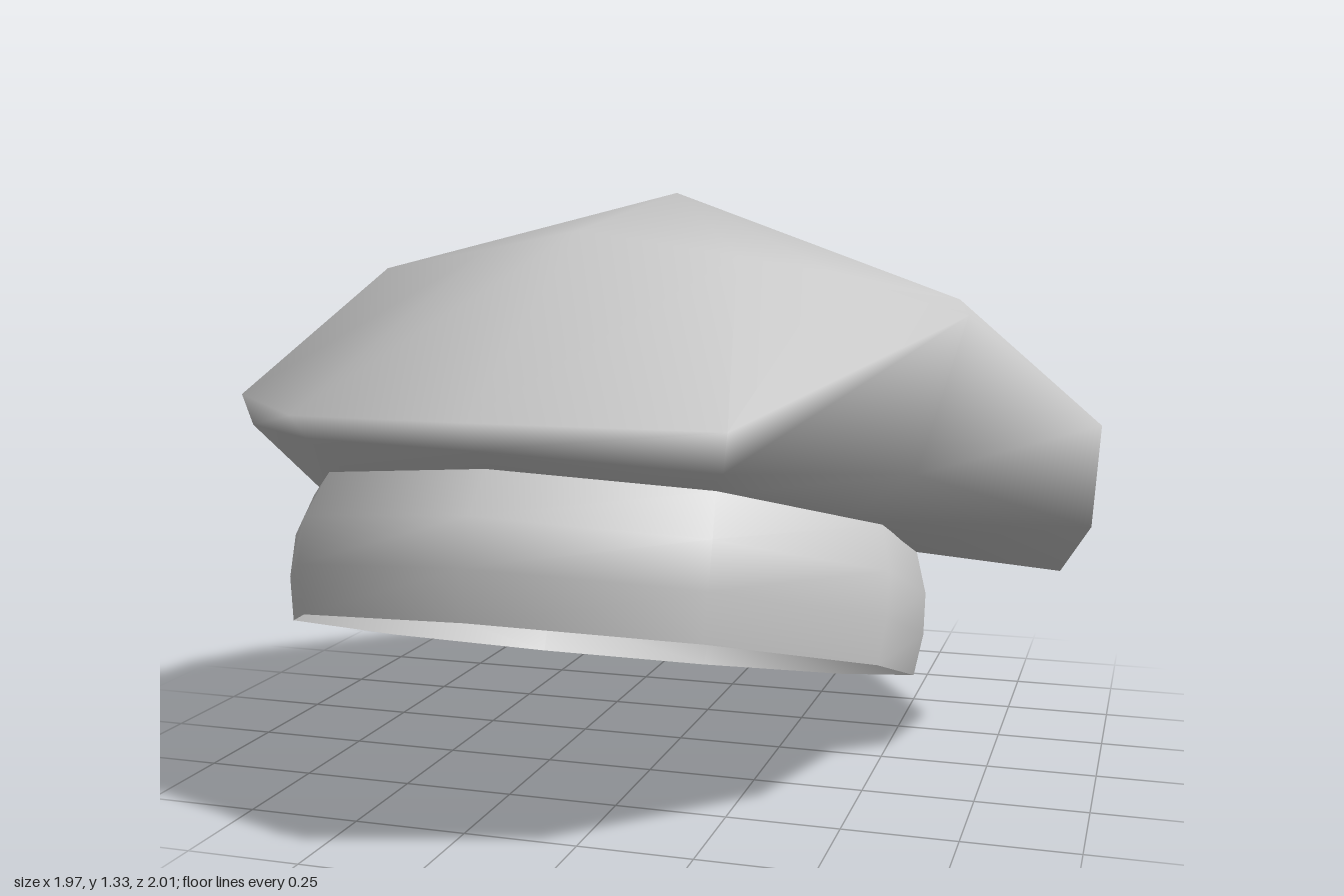
import * as THREE from 'three';

const material = new THREE.MeshStandardMaterial({ color: 0xcccccc, side: THREE.DoubleSide });

// Skin a stack of closed rings (bottom to top), optionally closed by a tip point.
function skin(name, rings, tip) {
  const n = rings[0].length, index = [], points = rings.flat();
  for (let r = 0; r < rings.length - 1; r++) {
    for (let i = 0; i < n; i++) {
      const j = (i + 1) % n, a = r * n, b = a + n;
      index.push(a + i, a + j, b + j, a + i, b + j, b + i);
    }
  }
  if (tip) {
    const a = (rings.length - 1) * n;
    for (let i = 0; i < n; i++) index.push(a + i, a + (i + 1) % n, points.length);
    points.push(tip);
  }
  const g = new THREE.BufferGeometry();
  g.setAttribute('position', new THREE.Float32BufferAttribute(points.flat(), 3));
  g.setIndex(index);
  g.computeVertexNormals();
  const mesh = new THREE.Mesh(g, material);
  mesh.name = name;
  return mesh;
}

export function createModel() {
  const group = new THREE.Group();
  group.name = 'beret';

  // Open ten-sided head band, tilted down to the back and bulging mid-height
  const slope = 0.302, sides = 10;
  const levels = [[0, 0], [0.1, 0.04], [0.2, 0.037], [0.3, -0.03]]; // height, bulge
  const bandRings = levels.map(([h, bulge]) => Array.from({ length: sides }, (_, i) => {
    const a = (i / sides) * Math.PI * 2;
    const along = (0.875 + bulge) * Math.cos(a);
    return [
      -0.13 + (0.725 + bulge * 0.4) * Math.sin(a),
      0.26 + along * Math.sin(slope) + h * Math.cos(slope),
      0.165 + along * Math.cos(slope) - h * Math.sin(slope),
    ];
  }));
  group.add(skin('headBand', bandRings));

  // Crown rings run from the front round by +x; the cloth droops at the back
  const lower = [
    [-0.13, 0.84, 0.94], [0.33, 0.8, 0.83], [0.64, 0.76, 0.48], [0.97, 0.59, 0.04],
    [0.885, 0.42, -0.27], [0.47, 0.34, -0.92], [-0.14, 0.29, -0.98], [-0.57, 0.38, -0.8],
    [-0.89, 0.54, -0.25], [-0.97, 0.68, 0.06], [-0.86, 0.81, 0.5], [-0.56, 0.83, 0.8],
  ];
  const rim = [
    [-0.13, 0.9, 0.99], [0.36, 0.89, 0.91], [0.75, 1.09, 0.57], [0.985, 0.82, 0.05],
    [0.89, 0.63, -0.28], [0.48, 0.54, -0.93], [-0.14, 0.35, -1], [-0.58, 0.45, -0.83],
    [-0.9, 0.62, -0.27], [-0.985, 0.74, 0.05], [-0.88, 0.88, 0.51], [-0.58, 0.88, 0.83],
  ];
  const shoulder = [
    [-0.03, 1.25, 0.62], [0.28, 1.2, 0.54], [0.47, 1.165, 0.49], [0.66, 1.09, 0],
    [0.62, 0.99, -0.2], [0.43, 0.9, -0.5], [-0.03, 0.88, -0.65], [-0.47, 0.9, -0.48],
    [-0.65, 1, -0.2], [-0.7, 1.07, 0], [-0.52, 1.165, 0.49], [-0.25, 1.21, 0.57],
  ];
  // Inner edge of the crown, seated on the top of the band
  const seat = rim.map(([x, , z]) => {
    const a = Math.atan2((x + 0.13) / 0.68, (z - 0.05) / 0.8);
    const dz = 0.78 * Math.cos(a);
    return [-0.13 + 0.68 * Math.sin(a), 0.535 + 0.306 * dz, 0.05 + dz];
  });
  group.add(skin('crown', [seat, lower, rim, shoulder], [-0.03, 1.33, -0.07]));
  return group;
}
